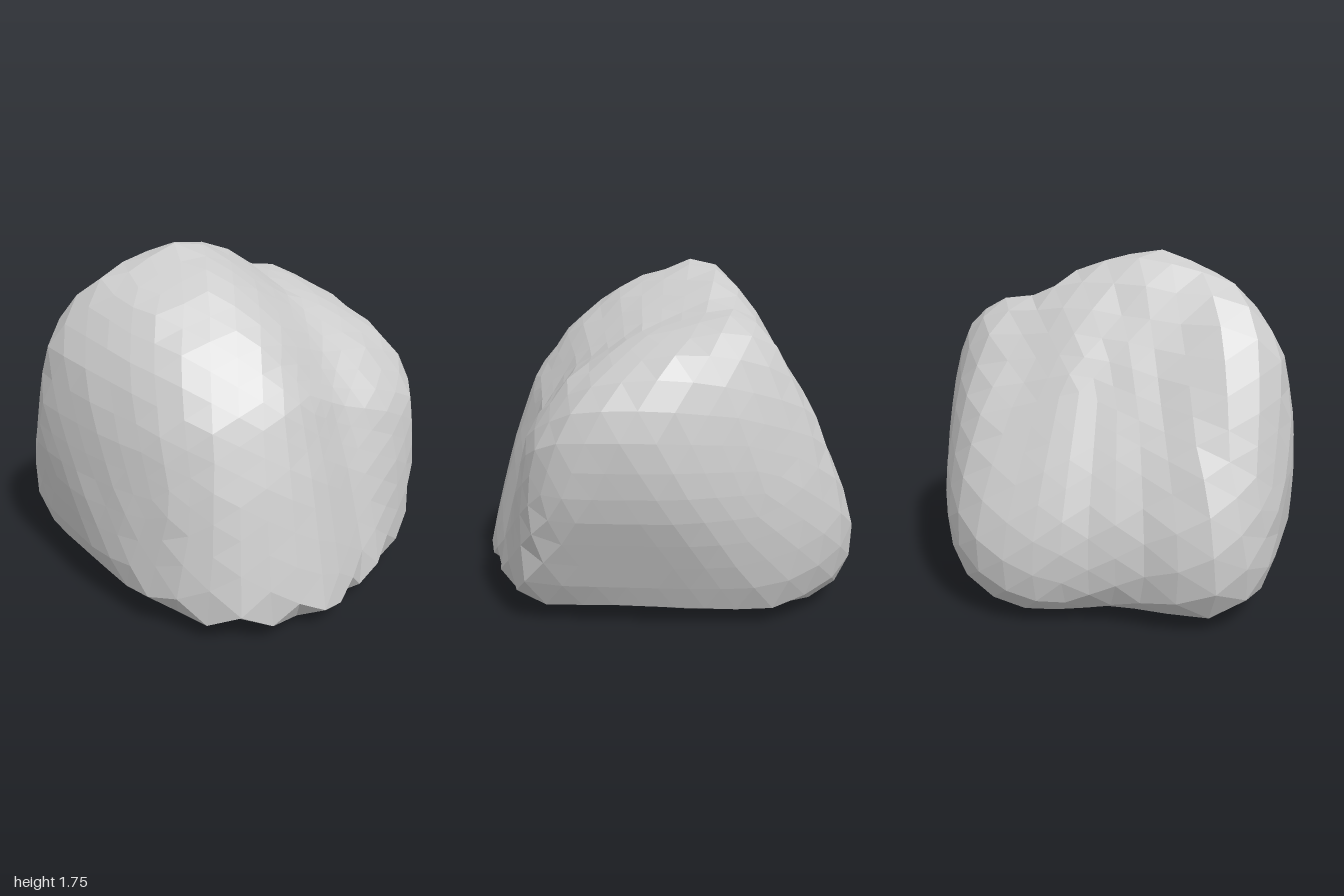
import * as THREE from 'three';

const MID = 0.7; // height of the point the boulder is measured from

// Limits of the stone along its width, as [x, limit]
const ridge = [
  [-0.97, 0.8], [-0.96, 1.0], [-0.89, 1.33], [-0.76, 1.5], [-0.61, 1.63], [-0.42, 1.7], [-0.23, 1.76],
  [-0.02, 1.72], [0.2, 1.62], [0.35, 1.53], [0.52, 1.5], [0.68, 1.42], [0.82, 1.32], [0.92, 1.16], [0.97, 0.95],
];
const base = [
  [-0.97, 0.7], [-0.93, 0.3], [-0.91, 0.18], [-0.8, 0.08], [-0.6, 0.02], [0, 0.01], [0.25, 0], [0.5, 0.02],
  [0.7, 0.05], [0.76, 0.12], [0.79, 0.22], [0.86, 0.4], [0.94, 0.62], [0.97, 0.9],
];
const frontEdge = [
  [-0.97, -0.25], [-0.94, 0.1], [-0.87, 0.4], [-0.75, 0.68], [-0.58, 0.87], [-0.35, 0.96], [-0.17, 1],
  [-0.04, 0.98], [0.1, 0.93], [0.23, 0.88], [0.35, 0.86], [0.55, 0.78], [0.75, 0.68], [0.85, 0.6],
  [0.94, 0.43], [0.97, 0.22],
];
const backEdge = [
  [-0.97, -0.4], [-0.94, -0.57], [-0.88, -0.72], [-0.8, -0.82], [-0.66, -0.89], [-0.38, -0.87], [-0.1, -0.92],
  [0.05, -0.98], [0.2, -1], [0.33, -1], [0.48, -0.95], [0.6, -0.85], [0.72, -0.7], [0.82, -0.48],
  [0.88, -0.3], [0.94, -0.1], [0.97, 0.12],
];

// Wedge-shaped cross-section at full size, as [z, y]
const section = [
  [0.7, 0.04], [0.92, 0.06], [1, 0.11], [0.99, 0.2], [0.94, 0.42], [0.85, 0.75], [0.72, 1.11], [0.49, 1.41],
  [0.22, 1.6], [0.02, 1.68], [-0.22, 1.76], [-0.34, 1.72], [-0.46, 1.6], [-0.63, 1.3], [-0.75, 1.05],
  [-0.87, 0.8], [-0.97, 0.55], [-1, 0.35], [-0.97, 0.17], [-0.87, 0.07], [-0.73, 0.02], [-0.4, 0], [0.2, 0.02],
];

// Straight-line reading of a table of limits
function limitAt(table, x) {
  const i = table.findIndex(([tx], k) => k > 0 && tx >= x);
  const [x0, v0] = table[i - 1], [x1, v1] = table[i];
  return THREE.MathUtils.mapLinear(x, x0, x1, v0, v1);
}

// The section is convex, so a point is inside when it lies left of every side
function inSection(z, y) {
  return section.every(([az, ay], i) => {
    const [bz, by] = section[(i + 1) % section.length];
    return (bz - az) * (y - ay) - (by - ay) * (z - az) >= -0.002;
  });
}

// Each slice across the width is the section fitted between the four limits
function inStone({ x, y, z }) {
  if (Math.abs(x) >= 0.97) return false;
  const fittedZ = THREE.MathUtils.mapLinear(z, limitAt(backEdge, x), limitAt(frontEdge, x), -1, 1);
  const fittedY = THREE.MathUtils.mapLinear(y, limitAt(base, x), limitAt(ridge, x), 0, 1.76);
  // The left lobe has fuller shoulders and a narrower foot
  const lobe = THREE.MathUtils.smoothstep(x, 0.2, 0.7);
  const fullness = 1 + lobe * (0.26 * fittedY - 0.08);
  return inSection(fittedZ / fullness, fittedY);
}

// Finds where a ray from the middle leaves the stone, by halving
function surfaceDistance(direction) {
  const point = new THREE.Vector3();
  let near = 0, far = 1.8;
  for (let step = 0; step < 16; step++) {
    const half = (near + far) / 2;
    point.copy(direction).multiplyScalar(half);
    point.y += MID;
    if (inStone(point)) near = half;
    else far = half;
  }
  return near;
}

export function createModel() {
  const geometry = new THREE.IcosahedronGeometry(1, 7);
  const pos = geometry.attributes.position;
  const p = new THREE.Vector3();
  for (let i = 0; i < pos.count; i++) {
    // Snap so that corners shared by several faces move together
    p.fromBufferAttribute(pos, i);
    p.set(...p.toArray().map((n) => Math.round(n * 1e4) / 1e4));
    p.multiplyScalar(surfaceDistance(p));
    pos.setXYZ(i, p.x, p.y + MID, p.z);
  }
  geometry.computeVertexNormals();

  const boulder = new THREE.Mesh(
    geometry,
    new THREE.MeshStandardMaterial({ color: 0xcccccc, flatShading: true }),
  );
  boulder.name = 'boulder';
  const group = new THREE.Group();
  group.name = 'rock';
  group.add(boulder);
  return group;
}
